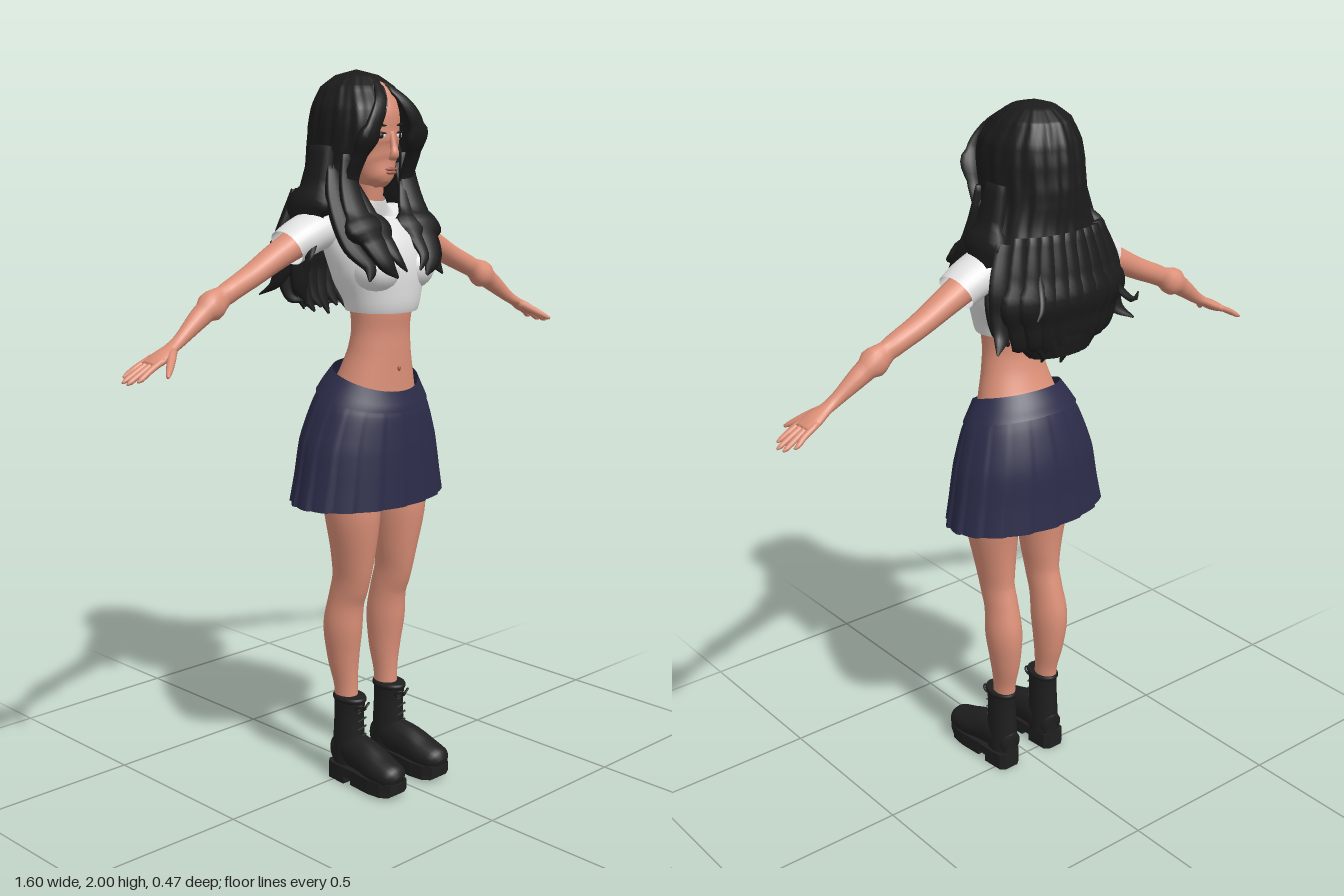
import * as THREE from 'three';

const mat = (name, color, double) => {
  const m = new THREE.MeshStandardMaterial({ color });
  m.name = name;
  if (double) m.side = THREE.DoubleSide;
  return m;
};

// Surface over rows x cols points; rows run along the part, columns around it.
function grid(rows, closed) {
  const n = rows[0].length, pos = rows.flat().flatMap(p => [p.x, p.y, p.z]), idx = [];
  for (let i = 0; i < rows.length - 1; i++) {
    for (let j = 0; j < (closed ? n : n - 1); j++) {
      const k = (j + 1) % n, a = i * n + j, b = i * n + k, c = a + n, d = b + n;
      idx.push(a, b, c, b, d, c);
    }
  }
  const g = new THREE.BufferGeometry();
  g.setAttribute('position', new THREE.Float32BufferAttribute(pos, 3));
  g.setIndex(idx);
  g.computeVertexNormals();
  return g;
}

// Smooth loft through rings [x, y, z, a, b]; radius a lies along the hint axis, b across it.
const X = new THREE.Vector3(1, 0, 0), Z = new THREE.Vector3(0, 0, 1);
function sweep(rings, hint, { n = 20, cap = true, shape = null, sub = 5 } = {}) {
  const path = new THREE.CatmullRomCurve3(rings.map(r => new THREE.Vector3(r[0], r[1], r[2])));
  const size = new THREE.CatmullRomCurve3(rings.map(r => new THREE.Vector3(r[3], r[4], 0)));
  const steps = (rings.length - 1) * sub, rows = [];
  const ring = (t, k) => {
    const c = path.getPoint(t), s = size.getPoint(t), T = path.getTangent(t);
    const U = hint.clone().addScaledVector(T, -hint.dot(T)).normalize();
    const V = T.clone().cross(U);
    rows.push(Array.from({ length: n }, (_, j) => {
      const h = j / n * Math.PI * 2, m = k * (shape ? shape(h, t) : 1);
      return c.clone().addScaledVector(U, s.x * m * Math.cos(h)).addScaledVector(V, s.y * m * Math.sin(h));
    }));
  };
  if (cap) ring(0, 0);
  for (let i = 0; i <= steps; i++) ring(i / steps, 1);
  if (cap) ring(1, 0);
  return grid(rows, true);
}

export function createModel() {
  const model = new THREE.Group();
  model.name = 'figure';
  const skin = mat('skin', 0xdc9078), hair = mat('hair', 0x1b1b1b, true), cloth = mat('shirtWhite', 0xe2e2e2, true);
  const navy = mat('skirtNavy', 0x2c2c4a, true), black = mat('bootBlack', 0x1f1f1f, true);
  const lip = mat('lip', 0xa8604f), white = mat('eyeWhite', 0xe6ddd6), iris = mat('iris', 0x2a1a14);
  const add = (name, geo, m) => {
    const o = new THREE.Mesh(geo, m);
    o.name = name;
    model.add(o);
    return o;
  };
  const blob = (name, m, x, y, z, sx, sy, sz, ry = 0) => {
    const o = add(name, new THREE.SphereGeometry(1, 20, 14), m);
    o.position.set(x, y, z);
    o.scale.set(sx, sy, sz);
    o.rotation.y = ry;
    return o;
  };

  // Torso and neck
  add('torso', sweep([[0, .84, .03, .05, .06], [0, .92, .02, .14, .1], [0, 1.05, .02, .155, .12],
    [0, 1.18, .048, .118, .088], [0, 1.25, .06, .098, .075], [0, 1.31, .065, .09, .07], [0, 1.38, .065, .095, .078],
    [0, 1.5, .045, .11, .08], [0, 1.6, .005, .08, .05], [0, 1.66, .015, .04, .042], [0, 1.72, .025, .036, .04],
    [0, 1.78, .03, .036, .04]], X, { n: 32 }), skin);
  add('briefs', sweep([[0, .835, .03, .03, .05], [0, .88, .025, .1, .09], [0, .94, .02, .155, .112],
    [0, 1.0, .02, .162, .12]], X, { n: 28 }), cloth);
  blob('navel', lip, 0, 1.205, .137, .005, .008, .004);

  // Head and face
  add('head', sweep([[0, 1.695, .07, .018, .02], [0, 1.71, .062, .042, .04], [0, 1.74, .04, .062, .068],
    [0, 1.78, .02, .074, .09], [0, 1.82, .01, .079, .1], [0, 1.87, 0, .08, .11], [0, 1.92, -.01, .076, .1],
    [0, 1.955, -.02, .05, .07], [0, 1.97, -.02, .01, .01]], X, { n: 32 }), skin);
  add('nose', sweep([[0, 1.838, .103, .007, .008], [0, 1.8, .112, .009, .009], [0, 1.779, .116, .014, .011],
    [0, 1.766, .108, .014, .007]], X, { n: 14 }), skin);
  blob('upperLip', lip, 0, 1.74, .106, .023, .005, .007);
  blob('lowerLip', lip, 0, 1.731, .105, .018, .006, .007);
  for (const s of [1, -1]) {
    blob('eye', white, s * .036, 1.828, .097, .017, .008, .005, s * .35);
    blob('iris', iris, s * .035, 1.828, .1, .0075, .0075, .004, s * .35);
    blob('lashes', hair, s * .037, 1.836, .0985, .02, .003, .005, s * .35).rotation.z = s * .08;
    blob('eyebrow', hair, s * .038, 1.856, .098, .021, .0035, .005, s * .35).rotation.z = s * .1;
  }

  // Cropped shirt
  add('shirt', sweep([[0, 1.362, .067, .105, .093], [0, 1.4, .068, .115, .102], [0, 1.46, .058, .138, .116],
    [0, 1.51, .045, .148, .115], [0, 1.57, .01, .15, .095], [0, 1.615, 0, .13, .07], [0, 1.645, .012, .065, .052],
    [0, 1.668, .02, .044, .046]], X, { n: 40, cap: false }), cloth);

  // Pleated skirt and waistband, both dipping at the front
  const dip = g => {
    const p = g.attributes.position;
    for (let i = 0; i < p.count; i++) {
      const k = Math.max(0, p.getY(i) - 1.05) / .135, f = Math.max(0, p.getZ(i)) / .15;
      p.setY(i, p.getY(i) - .027 * k * f * f);
    }
    g.computeVertexNormals();
    return g;
  };
  const pleat = (h, t) => {
    const w = (h / (Math.PI * 2) * 18 + .5) % 1;
    return 1 + .035 * Math.max(0, 1 - t * 1.25) * ((w < .85 ? w / .85 : (1 - w) / .15) - .6);
  };
  add('skirt', dip(sweep([[0, .83, .012, .252, .163], [0, .9, .014, .237, .159], [0, 1, .016, .218, .154],
    [0, 1.1, .027, .182, .137], [0, 1.15, .036, .155, .121], [0, 1.187, .045, .131, .103]], X,
  { n: 180, cap: false, shape: pleat })), navy);
  add('waistband', dip(sweep([[0, 1.125, .031, .174, .134], [0, 1.15, .036, .159, .125], [0, 1.19, .045, .134, .106]], X,
    { n: 48, cap: false })), navy);

  for (const s of [1, -1]) {
    const side = s > 0 ? 'left' : 'right', m = rings => rings.map(([x, ...r]) => [s * x, ...r]);
    const part = (name, rings, hint, material, opt) => add(side + name, sweep(m(rings), hint, opt), material);

    // Bust and sleeve
    blob(side + 'Bust', cloth, s * .066, 1.475, .107, .066, .062, .073);
    part('Sleeve', [[.07, 1.58, -.005, .058, .055], [.15, 1.582, -.02, .068, .056], [.215, 1.56, -.025, .066, .054],
      [.258, 1.538, -.028, .06, .051]], Z, cloth, { n: 28, cap: false });

    // Arm, palm and fingers
    part('Arm', [[.1, 1.58, -.02, .04, .04], [.2, 1.56, -.025, .044, .042], [.28, 1.525, -.029, .041, .037],
      [.38, 1.474, -.03, .034, .031], [.46, 1.438, -.028, .029, .029], [.54, 1.395, -.026, .029, .029],
      [.63, 1.332, -.018, .018, .017], [.66, 1.315, -.016, .022, .014], [.7, 1.294, -.015, .034, .015],
      [.73, 1.28, -.016, .034, .01]], Z, skin);
    [[.778, 1.253, -.055], [.797, 1.244, -.033], [.8, 1.243, -.009], [.785, 1.25, .014]].forEach(([x, y, z], i) => {
      const z0 = -.042 + i * .017;
      part('Finger', [[.7, 1.295, z0, .009, .009], [.745, 1.273, (z0 + z) / 2, .009, .008], [x - .012, y + .006, z, .007, .007],
        [x, y, z, .003, .003]], Z, skin, { n: 10, sub: 3 });
    });
    part('Thumb', [[.665, 1.31, 0, .012, .012], [.695, 1.288, .03, .011, .011], [.72, 1.27, .054, .008, .008],
      [.732, 1.262, .066, .004, .004]], X, skin, { n: 10, sub: 3 });

    // Leg
    part('Leg', [[.08, .18, .01, .03, .036], [.08, .27, .008, .03, .037], [.083, .36, .0, .041, .05],
      [.086, .46, .002, .05, .061], [.084, .54, .015, .045, .057], [.084, .6, .033, .044, .061],
      [.085, .68, .042, .055, .07], [.09, .8, .045, .073, .085], [.09, .92, .033, .078, .092]], X, skin, { n: 28 });

    // Boot: shaft, foot, sole with heel, laces
    part('BootShaft', [[.08, .05, .02, .04, .05], [.08, .12, .02, .039, .051], [.08, .2, .021, .036, .049],
      [.08, .25, .023, .037, .053]], X, black, { n: 24, cap: false });
    part('BootCuff', [[.08, .238, .023, .038, .053], [.08, .246, .023, .041, .056], [.08, .254, .023, .038, .053]], X, black,
      { n: 24 });
    part('BootFoot', [[.08, .075, -.026, .03, .04], [.08, .09, .04, .042, .055], [.084, .085, .1, .045, .052],
      [.088, .07, .16, .05, .043], [.089, .06, .21, .043, .036], [.089, .052, .231, .02, .016]], X, black);
    const sole = (name, zs, y, h) => {
      const outline = [...zs.map(([z, w]) => [.086 + w, z]), ...zs.slice().reverse().map(([z, w]) => [.086 - w, z])];
      const shape = new THREE.Shape(outline.map(([x, z]) => new THREE.Vector2(s * x, z)));
      const g = new THREE.ExtrudeGeometry(shape, { depth: h, bevelEnabled: false });
      add(side + name, g.rotateX(Math.PI / 2).translate(0, y, 0), black);
    };
    sole('Sole', [[-.032, .022], [-.02, .036], [.02, .042], [.08, .044], [.15, .052], [.195, .048], [.225, .033], [.237, .012]],
      .05, .028);
    sole('Heel', [[-.032, .022], [-.02, .036], [.045, .042]], .025, .025);
    sole('Tread', [[.075, .044], [.15, .051], [.195, .046], [.215, .03]], .025, .018);
    for (const k of [-1, 1]) {
      const bow = add(side + 'Lace', new THREE.TorusGeometry(.012, .003, 6, 14), black);
      bow.position.set(s * .08 + k * .013, .228, .078);
      bow.rotation.set(.7, k * .5, 0);
    }
    for (let i = 0; i < 4; i++) {
      const lace = add(side + 'Lace', new THREE.CapsuleGeometry(.003, .03, 3, 6), black);
      lace.position.set(s * .08, .14 + i * .025, .073);
      lace.rotation.z = Math.PI / 2 + .2;
    }
  }

  // Hair shell: rows [y, centre z, half width, half depth, half angle of the face opening], bottom to top
  const rows = [[1.35, -.13, .1, .05, 1.6], [1.4, -.12, .145, .07, 1.6], [1.5, -.1, .175, .088, 1.55],
    [1.6, -.07, .18, .115, 1.45], [1.7, -.042, .15, .127, 1.15], [1.75, -.03, .136, .14, 1.0], [1.8, -.0175, .132, .152, .74],
    [1.85, -.012, .131, .152, .5], [1.9, -.0125, .124, .142, .3], [1.955, -.025, .094, .106, .05],
    [1.985, -.027, .054, .062, 0], [2, -.03, .001, .001, 0]];
  const place = new THREE.CatmullRomCurve3(rows.map(r => new THREE.Vector3(r[0], r[1], r[4])));
  const width = new THREE.CatmullRomCurve3(rows.map(r => new THREE.Vector3(r[2], r[3], 0)));
  const shell = [];
  for (let i = 0; i <= 66; i++) {
    const p = place.getPoint(i / 66), w = width.getPoint(i / 66), open = Math.max(0, p.z);
    shell.push(Array.from({ length: 121 }, (_, j) => {
      const h = open + (Math.PI - open) * 2 * j / 120;
      const k = 1 + .014 * Math.sin(h * 17 + p.x * 9) + .008 * Math.sin(h * 31 - p.x * 14);
      return new THREE.Vector3(Math.sin(h) * w.x * k, Math.min(2, p.x), p.y + Math.cos(h) * w.y * k);
    }));
  }
  add('hairShell', grid(shell, false), hair);

  // Loose locks: rings [x, y, z, half width], flattened and tapered
  const lock = (name, pts, hint, flat = .45) =>
    add(name, sweep(pts.map(p => [p[0], p[1], p[2], p[3], p[3] * flat]), hint, { n: 12, shape: h => 1 + .08 * Math.cos(5 * h) }), hair);
  for (const s of [1, -1]) {
    const m = pts => pts.map(([x, ...r]) => [s * x, ...r]);
    lock('fringe', m([[.012, 1.965, .062, .012], [.045, 1.915, .11, .02], [.082, 1.85, .118, .026], [.1, 1.78, .09, .026],
      [.105, 1.71, .06, .025], [.11, 1.64, .065, .02]]), X);
    lock('frontLock', m([[.11, 1.78, .05, .02], [.112, 1.7, .06, .034], [.11, 1.62, .09, .045], [.1, 1.56, .133, .045],
      [.085, 1.5, .172, .03], [.055, 1.46, .186, .004]]), X);
    lock('outerLock', m([[.125, 1.75, .01, .02], [.135, 1.67, .04, .04], [.14, 1.6, .075, .045], [.14, 1.54, .11, .04],
      [.125, 1.49, .15, .024], [.14, 1.455, .165, .003]]), X);
    lock('innerLock', m([[.09, 1.7, .06, .014], [.07, 1.62, .095, .026], [.058, 1.56, .14, .026], [.05, 1.51, .18, .016],
      [.025, 1.475, .19, .003]]), X);
    lock('sideLock', m([[.125, 1.8, -.03, .04], [.15, 1.69, -.03, .055], [.18, 1.61, -.03, .055], [.21, 1.55, .0, .035],
      [.235, 1.52, .035, .015], [.25, 1.49, .03, .003]]), Z);
    lock('shoulderLock', m([[.15, 1.66, -.1, .03], [.18, 1.55, -.12, .04], [.185, 1.48, -.125, .036], [.2, 1.43, -.14, .022],
      [.235, 1.4, -.17, .003]]), X);
    lock('hangingLock', m([[.15, 1.6, -.06, .03], [.165, 1.5, -.075, .034], [.16, 1.43, -.085, .028], [.135, 1.38, -.09, .004]]), X);
  }
  for (let i = 0; i < 9; i++) {
    const u = (i - 4) / 4, x = u * .15, z = -.135 - .05 * Math.sqrt(1 - u * u * .9), low = 1.325 + .05 * u * u + .018 * (i % 2);
    lock('backLock', [[x * .85, 1.68, z + .02, .02], [x, 1.56, z, .034], [x, 1.46, z, .034], [x * .9, 1.39, z + .01, .026],
      [x * .8 + .012, low, z + .03, .004]], X);
  }
  lock('wisp', [[.1, 1.62, -.165, .01], [.105, 1.55, -.19, .011], [.125, 1.51, -.215, .008], [.155, 1.49, -.232, .002]], X);
  lock('wisp', [[-.12, 1.58, -.15, .012], [-.17, 1.5, -.175, .012], [-.215, 1.46, -.19, .008], [-.25, 1.47, -.17, .002]], X);
  return model;
}
